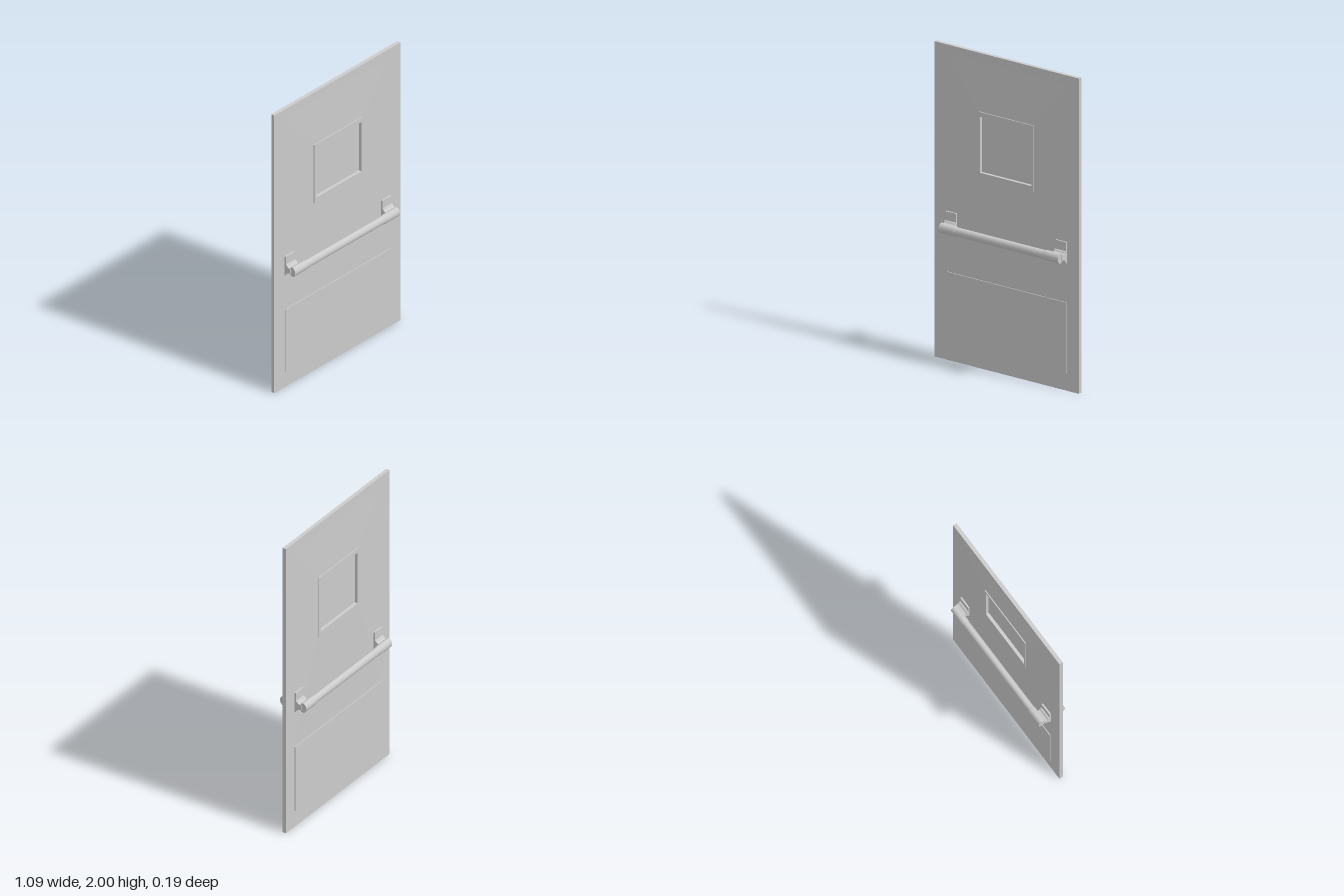
import * as THREE from 'three';

const grey = new THREE.MeshStandardMaterial({ color: 0xcccccc });

function part(name, geometry, parent) {
  const mesh = new THREE.Mesh(geometry, grey);
  mesh.name = name;
  parent.add(mesh);
  return mesh;
}

// Rectangular plate with a rectangular hole, from z0 to z1
function framedPlate(w, y0, y1, z0, z1, hole) {
  const rect = (T, hw, a, b) => {
    const s = new T();
    s.moveTo(-hw, a).lineTo(hw, a).lineTo(hw, b).lineTo(-hw, b).closePath();
    return s;
  };
  const shape = rect(THREE.Shape, w / 2, y0, y1);
  shape.holes.push(rect(THREE.Path, hole.w / 2, hole.y0, hole.y1));
  return new THREE.ExtrudeGeometry(shape, { depth: z1 - z0, bevelEnabled: false }).translate(0, 0, z0);
}

// Four gentle slopes rising from an outer rectangle to an inner one
function slopes(outer, inner) {
  const corners = ({ x, y0, y1, z }) => [[-x, y0, z], [x, y0, z], [x, y1, z], [-x, y1, z]];
  const o = corners(outer), n = corners(inner), pos = [];
  for (let i = 0; i < 4; i++) {
    const j = (i + 1) % 4;
    pos.push(...o[i], ...o[j], ...n[j], ...o[i], ...n[j], ...n[i]);
  }
  const g = new THREE.BufferGeometry();
  g.setAttribute('position', new THREE.Float32BufferAttribute(pos, 3));
  g.computeVertexNormals();
  return g;
}

// Bracket side profile (z, y): wall plate with a flared neck
function bracketGeometry(width) {
  const s = new THREE.Shape();
  s.moveTo(0, 0.81).lineTo(0.023, 0.81).lineTo(0.023, 0.822);
  s.lineTo(0.032, 0.824).quadraticCurveTo(0.036, 0.836, 0.048, 0.837);
  s.lineTo(0.06, 0.837).lineTo(0.06, 0.873).lineTo(0.048, 0.873);
  s.quadraticCurveTo(0.036, 0.874, 0.032, 0.886);
  s.lineTo(0.023, 0.888).lineTo(0.023, 0.945).lineTo(0, 0.945).closePath();
  return new THREE.ExtrudeGeometry(s, { depth: width, bevelEnabled: false, curveSegments: 6 })
    .rotateY(-Math.PI / 2).translate(width / 2, 0, 0);
}

// Push bar: thicker sleeves at both ends, slightly oval section
function barGeometry() {
  const end = 0.451, r = 0.032, m = 0.028;
  const profile = [[0.33, m], [0.335, r - 0.002], [0.35, r], [end, r]];
  const pts = [
    ...profile.slice().reverse().map(([x, q]) => new THREE.Vector2(q, -x)),
    ...profile.map(([x, q]) => new THREE.Vector2(q, x)),
  ];
  return new THREE.LatheGeometry(pts, 32).rotateZ(-Math.PI / 2).scale(1, 1, 0.78);
}

export function createModel() {
  const door = new THREE.Group();
  door.name = 'door';
  const hole = { w: 0.388, y0: 1.245, y1: 1.6 };

  part('doorSlab', framedPlate(1.09, 0, 2, -0.012, 0.012, hole), door);
  part('windowFrame', framedPlate(0.42, 1.21, 1.63, -0.023, 0.023, hole), door);
  part('windowPane', new THREE.BoxGeometry(0.4, 0.37, 0.006), door).position.y = 1.4225;

  // Both faces carry the same fittings
  for (const angle of [0, Math.PI]) {
    const face = new THREE.Group();
    face.name = angle ? 'backFace' : 'frontFace';
    face.rotation.y = angle;
    door.add(face);

    part('raisedField', slopes(
      { x: 0.455, y0: 0.58, y1: 1.94, z: 0.0122 },
      { x: 0.21, y0: 1.21, y1: 1.63, z: 0.017 }), face);
    part('kickPlate', new THREE.BoxGeometry(0.906, 0.45, 0.016), face).position.set(0, 0.335, 0.009);

    part('pushBar', barGeometry(), face).position.set(0, 0.854, 0.071);
    for (const side of [-1, 1]) {
      part('barBracket', bracketGeometry(0.082), face).position.x = side * 0.416;
      // Flat cap closing the sleeve
      const cap = part('barEndCap', new THREE.CircleGeometry(0.032, 32).scale(0.78, 1, 1), face);
      cap.rotation.y = side * Math.PI / 2;
      cap.position.set(side * 0.451, 0.854, 0.071);
    }
  }
  return door;
}
